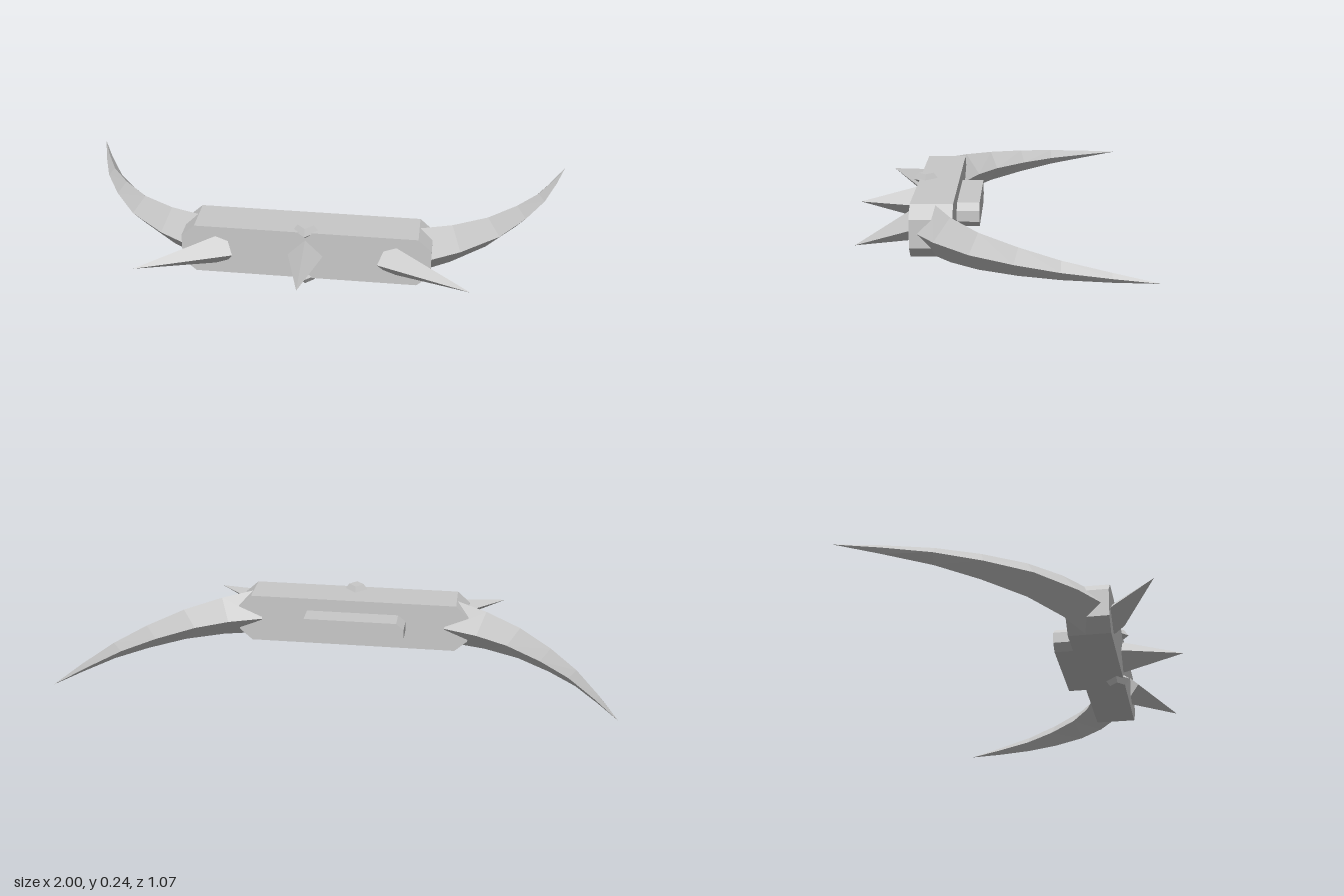
import * as THREE from 'three';

const MID = 0.1175; // height of the horizontal symmetry plane

// Hard-edged facets
function faceted(geometry) {
  const g = geometry.index ? geometry.toNonIndexed() : geometry;
  g.computeVertexNormals();
  return g;
}

// Rectangular block with its four corners cut off, extruded along z
function chamferedBlock(hx, hy, cutX, cutY, z0, z1) {
  const shape = new THREE.Shape([
    [hx, -hy + cutY], [hx, hy - cutY], [hx - cutX, hy], [-hx + cutX, hy],
    [-hx, hy - cutY], [-hx, -hy + cutY], [-hx + cutX, -hy], [hx - cutX, -hy],
  ].map(([x, y]) => new THREE.Vector2(x, y)));
  const g = new THREE.ExtrudeGeometry(shape, { depth: z1 - z0, bevelEnabled: false });
  return g.translate(0, MID, z0);
}

// Four-sided spike pointing from base to tip, both given as [x, z]
function spikeGeometry(base, tip, radius) {
  const dx = tip[0] - base[0], dz = tip[1] - base[1];
  const length = Math.hypot(dx, dz);
  const g = new THREE.ConeGeometry(radius, length, 4);
  g.translate(0, length / 2, 0).rotateX(Math.PI / 2).rotateY(Math.atan2(dx, dz));
  return faceted(g.translate(base[0], MID, base[1]));
}

// Curved horn with a diamond section, lofted between its outer and inner edges
function hornGeometry(side) {
  const outer = [[0.42, 0.295], [0.57, 0.2], [0.716, 0.07], [0.82, -0.08], [0.9, -0.23], [0.957, -0.39], [1, -0.535]];
  const inner = [[0.37, 0.135], [0.5, 0.085], [0.62, 0.01], [0.745, -0.11], [0.845, -0.235], [0.93, -0.39], [1, -0.535]];
  const rings = outer.map(([ox, oz], i) => {
    const [ix, iz] = inner[i];
    const h = 0.097 * (1 - i / (outer.length - 1));
    const mx = (ox + ix) / 2, mz = (oz + iz) / 2;
    return [[ox, MID, oz], [mx, MID + h, mz], [ix, MID, iz], [mx, MID - h, mz]];
  });
  const positions = [];
  const tri = (a, b, c) => {
    for (const p of side > 0 ? [a, b, c] : [a, c, b]) positions.push(side * p[0], p[1], p[2]);
  };
  for (let i = 0; i < rings.length - 1; i++) {
    const a = rings[i], b = rings[i + 1];
    for (let j = 0; j < 4; j++) {
      const k = (j + 1) % 4;
      tri(a[j], b[j], a[k]);
      if (i < rings.length - 2) tri(a[k], b[j], b[k]); // last ring is the tip
    }
  }
  // base cap
  const r = rings[0];
  tri(r[0], r[1], r[2]);
  tri(r[0], r[2], r[3]);
  const g = new THREE.BufferGeometry();
  g.setAttribute('position', new THREE.Float32BufferAttribute(positions, 3));
  return faceted(g);
}

export function createModel() {
  const model = new THREE.Group();
  model.name = 'hornedBar';
  const grey = new THREE.MeshStandardMaterial({ color: 0xc8c8c8 });
  grey.name = 'grey';

  const add = (name, geometry, parent = model) => {
    const mesh = new THREE.Mesh(geometry, grey);
    mesh.name = name;
    parent.add(mesh);
    return mesh;
  };

  // Main bar and the raised plate behind it
  add('body', chamferedBlock(0.465, 0.0975, 0.05, 0.045, 0.14, 0.295));
  add('backPlate', chamferedBlock(0.215, 0.046, 0.03, 0.025, 0.055, 0.145));

  // Horns sweeping backwards and spikes splayed forwards
  for (const [label, side] of [['left', 1], ['right', -1]]) {
    add(label + 'Horn', hornGeometry(side));
    add(label + 'Spike', spikeGeometry([side * 0.303, 0.274], [side * 0.61, 0.465], 0.065));
  }
  add('centreSpike', spikeGeometry([0, 0.285], [0, 0.53], 0.068));

  // Gem-shaped studs above and below the front edge
  for (const [label, up] of [['top', 1], ['bottom', -1]]) {
    const stud = new THREE.Group();
    stud.name = label + 'Stud';
    const crown = faceted(new THREE.CylinderGeometry(0.03, 0.048, 0.025, 4).translate(0, 0.1055, 0));
    const underside = faceted(new THREE.CylinderGeometry(0.048, 0.02, 0.02, 4).translate(0, 0.083, 0));
    add('crown', crown, stud);
    add('underside', underside, stud);
    stud.position.set(0, MID, 0.272);
    if (up < 0) stud.rotation.x = Math.PI;
    model.add(stud);
  }
  return model;
}
